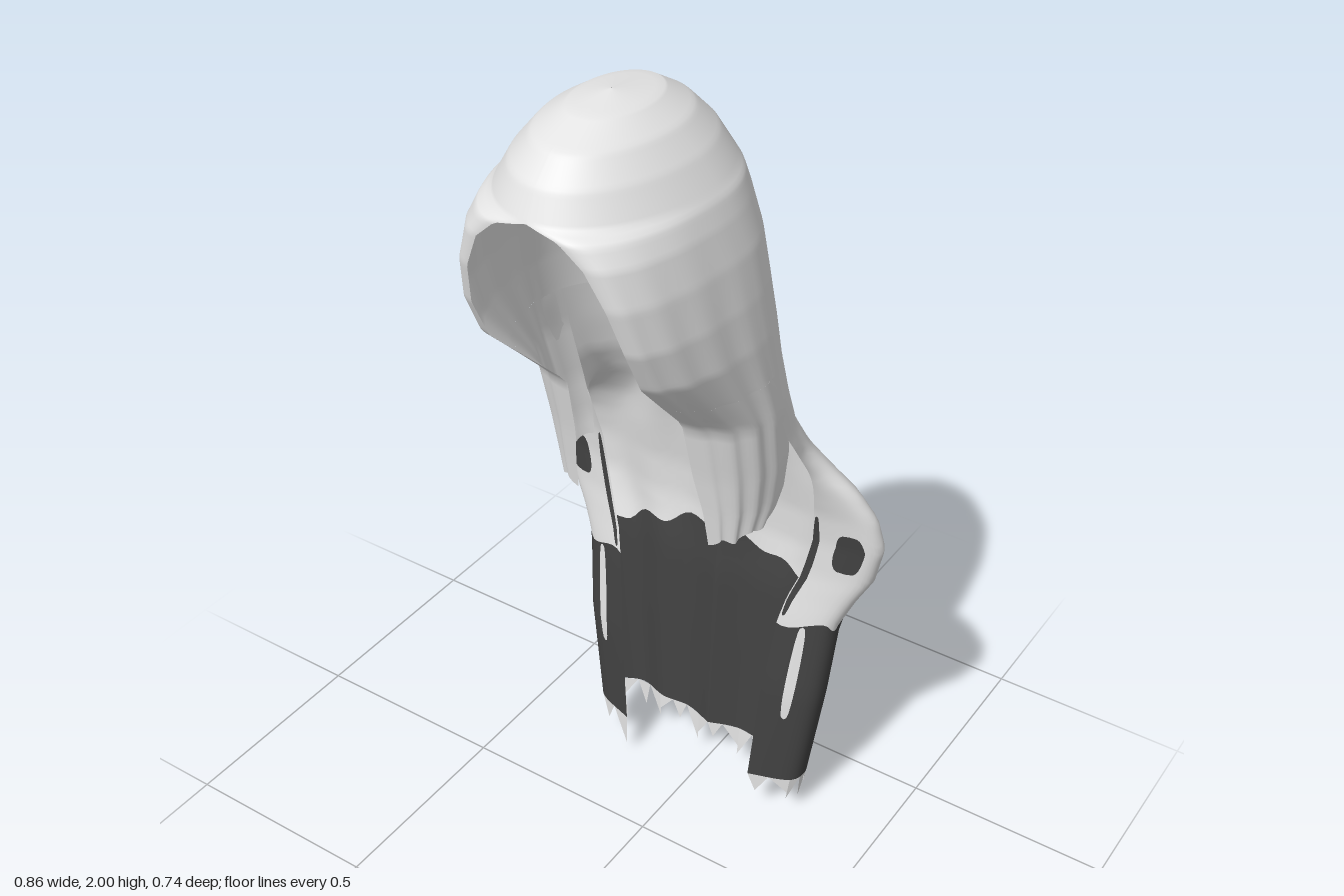
import * as THREE from 'three';

const lightHair = new THREE.MeshStandardMaterial({ color: 0xe4e4e4, side: THREE.DoubleSide });
lightHair.name = 'lightHair';
const darkHair = new THREE.MeshStandardMaterial({ color: 0x424242, side: THREE.DoubleSide });
darkHair.name = 'darkHair';

const { lerp, clamp } = THREE.MathUtils;

// Smooth sheet from a rule point(u, v), with u and v in 0..1
function sheet(name, material, nu, nv, point) {
  const pos = [], index = [];
  for (let j = 0; j <= nv; j++)
    for (let i = 0; i <= nu; i++) pos.push(...point(i / nu, j / nv));
  for (let j = 0; j < nv; j++)
    for (let i = 0; i < nu; i++) {
      const a = j * (nu + 1) + i, b = a + nu + 1;
      index.push(a, b, a + 1, b, b + 1, a + 1);
    }
  const geo = new THREE.BufferGeometry();
  geo.setAttribute('position', new THREE.Float32BufferAttribute(pos, 3));
  geo.setIndex(index);
  geo.computeVertexNormals();
  const mesh = new THREE.Mesh(geo, material);
  mesh.name = name;
  return mesh;
}

// Row of a table (first column is y, falling) at height y
function rowAt(rows, y) {
  let i = 0;
  while (i < rows.length - 2 && rows[i + 1][0] > y) i++;
  const a = rows[i], b = rows[i + 1];
  const t = clamp((a[0] - y) / (a[0] - b[0]), 0, 1);
  return a.map((n, k) => lerp(n, b[k], t));
}

// Hood: y, half width, back z, widest z, front z, half width of face opening
const hoodRows = [
  [2.0, 0.001, 0.099, 0.1, 0.101, 0], [1.985, 0.075, -0.03, 0.09, 0.2, 0],
  [1.95, 0.13, -0.09, 0.08, 0.29, 0], [1.9, 0.173, -0.14, 0.07, 0.34, 0],
  [1.84, 0.21, -0.175, 0.06, 0.37, 0], [1.825, 0.22, -0.18, 0.05, 0.372, 0.07],
  [1.78, 0.235, -0.195, 0.05, 0.365, 0.12], [1.7, 0.255, -0.21, 0.03, 0.35, 0.158],
  [1.6, 0.27, -0.225, 0.02, 0.32, 0.178], [1.5, 0.28, -0.24, 0, 0.27, 0.18],
  [1.4, 0.285, -0.25, -0.03, 0.17, 0.16], [1.3, 0.29, -0.265, -0.06, 0.07, 0.143],
  [1.15, 0.28, -0.29, -0.1, 0.035, 0.15], [1.05, 0.265, -0.305, -0.11, 0.015, 0.165],
  [0.96, 0.245, -0.3, -0.09, 0, 0.17],
];

// s runs -1..1 from one edge of the opening, round the back, to the other
function hoodPoint(s, y) {
  const [, w, zb, zs, zf, xf] = rowAt(hoodRows, y);
  const side = Math.sign(s), t = Math.abs(s), a = t * Math.PI;
  if (t <= 0.5) return [side * w * Math.sin(a), y, zs + (zb - zs) * Math.cos(a)];
  const strands = 0.004 * Math.sin((t - 0.5) * 50) * clamp((1.85 - y) * 2, 0, 1);
  return [side * (xf + (w - xf) * Math.sin(a) + strands), y, zs - (zf - zs) * Math.cos(a)];
}

// Back hair: y, half width, back z, front z, half width at folded lip, roundness
const backRows = [
  [1.4, 0.285, -0.25, -0.03, 0.285, 1], [1.3, 0.288, -0.265, -0.07, 0.285, 0.97],
  [1.2, 0.284, -0.283, -0.125, 0.28, 0.85], [1.12, 0.295, -0.302, -0.18, 0.27, 0.6],
  [1.06, 0.33, -0.318, -0.215, 0.27, 0.35], [1.0, 0.378, -0.335, -0.235, 0.28, 0.12],
  [0.93, 0.415, -0.35, -0.255, 0.285, 0], [0.85, 0.432, -0.365, -0.265, 0.28, 0],
  [0.75, 0.412, -0.372, -0.26, 0.26, 0], [0.68, 0.375, -0.367, -0.245, 0.235, 0],
  [0.61, 0.345, -0.355, -0.23, 0.22, 0], [0.4, 0.33, -0.345, -0.205, 0.2, 0],
  [0.12, 0.295, -0.335, -0.195, 0.18, 0], [0, 0.28, -0.33, -0.195, 0.18, 0],
];

// Cross-section: nearly flat back, rounded side and a lip folded inward
function backPoint(s, y) {
  const [, w, zb, zf, lip, round] = rowAt(backRows, y);
  const d = zf - zb;
  const flat = [[0, zb + 0.04], [0.25 * w, zb + 0.015], [0.5 * w, zb + 0.02], [0.75 * w, zb],
    [0.95 * w, zb + 0.2 * d], [w, zb + 0.45 * d], [0.93 * w, zb + 0.75 * d], [lip, zf]];
  const pts = flat.map(([x, z], i) => {
    const a = i * Math.PI / 14;
    return new THREE.Vector2(lerp(x, w * Math.sin(a), round), lerp(z, zb + d * (1 - Math.cos(a)), round));
  });
  const p = new THREE.SplineCurve(pts).getPoint(Math.abs(s));
  return [Math.sign(s) * p.x, y, p.y];
}

// Uneven upper limit of the dark lengths
const darkTop = (s) => {
  const t = Math.abs(s);
  return lerp(0.72, 0.61, clamp((t - 0.06) / 0.5, 0, 1)) + 0.012 * Math.sin(s * 31);
};
const TIP_Y = 0.125;

// Ragged points along the lower edge
function tips(count) {
  const pos = [];
  for (let i = 0; i < count; i++) {
    const a = -1 + 2 * i / count, b = a + 2 / count;
    const drop = i === 5 ? 0 : 0.035 + 0.045 * Math.abs(Math.sin(i * 2.3));
    const lean = (i % 3) / 2;
    pos.push(...backPoint(a, TIP_Y), ...backPoint(lerp(a, b, lean), drop), ...backPoint(b, TIP_Y));
  }
  const geo = new THREE.BufferGeometry();
  geo.setAttribute('position', new THREE.Float32BufferAttribute(pos, 3));
  geo.computeVertexNormals();
  const mesh = new THREE.Mesh(geo, lightHair);
  mesh.name = 'hairTips';
  return mesh;
}

// Rounded spot or streak lying just in front of the folded lip
function spot(name, material, side, s, halfS, y, halfY) {
  return sheet(name, material, 6, 12, (u, v) => {
    const a = (v - 0.5) * Math.PI;
    const p = backPoint(side * (s + halfS * (u * 2 - 1) * Math.sqrt(Math.cos(a))), y - halfY * Math.sin(a));
    return [p[0] + side * 0.002, p[1], p[2] + 0.004];
  });
}

export function createModel() {
  const group = new THREE.Group();
  group.name = 'longHair';

  // Crown and sides, with closely spaced rows at the top
  group.add(sheet('hood', lightHair, 96, 80, (u, v) =>
    hoodPoint(u * 2 - 1, 2 - 0.6 * Math.pow(v, 1.5))));

  // Long back hair in two tones
  group.add(sheet('upperBackHair', lightHair, 84, 36, (u, v) => {
    const s = u * 2 - 1;
    // the top edge follows the curve of the hood
    return v === 0 ? hoodPoint(s / 2, 1.4) : backPoint(s, lerp(1.4, darkTop(s), v));
  }));
  group.add(sheet('lowerBackHair', darkHair, 84, 14, (u, v) => {
    const s = u * 2 - 1;
    return backPoint(s, lerp(darkTop(s), TIP_Y, v));
  }));
  group.add(tips(26));

  for (const side of [-1, 1]) {
    const label = side > 0 ? 'left' : 'right';
    // Locks hanging in front of the shoulders
    group.add(sheet(label + 'Lock', lightHair, 32, 16, (u, v) => {
      const end = lerp(1.0, side > 0 ? 0.965 : 0.985, u) + 0.008 * Math.sin(u * 18);
      return hoodPoint(side * lerp(0.4, 1, u), lerp(1.4, end, v));
    }));
    // Dark patches and thin two-tone streaks on the shoulder curves
    group.add(spot(label + 'Patch', darkHair, side, 0.895, 0.038, 0.835, 0.055));
    group.add(spot(label + 'DarkStreak', darkHair, side, 0.985, 0.013, 0.78, 0.15));
    group.add(spot(label + 'LightStreak', lightHair, side, 0.915, 0.014, 0.47, 0.14));
  }
  return group;
}
